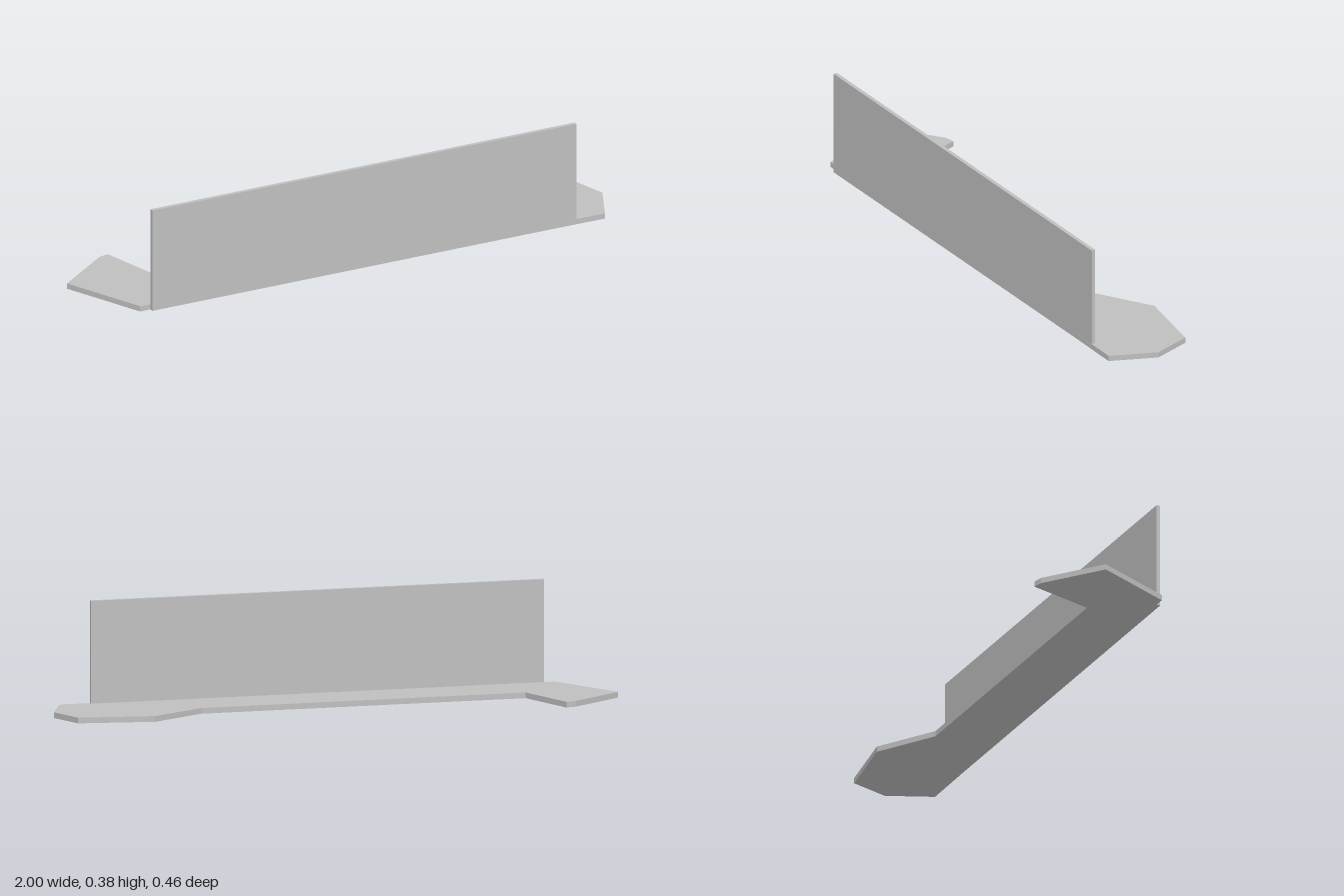
import * as THREE from 'three';

export function createModel() {
  const group = new THREE.Group();
  group.name = 'wallOnPlate';
  const grey = new THREE.MeshStandardMaterial({ color: 0xbfbfbf });
  grey.name = 'light grey';

  // Flat base plate, outline given as [x, z]
  const outline = [
    [-0.86, 0.214], [0.93, 0.23], [1, 0.07], [0.955, -0.07], [0.69, -0.115], [0.485, 0.01],
    [-0.69, 0.01], [-0.763, -0.23], [-0.8, -0.222], [-1, -0.072],
  ];
  const thickness = 0.02;
  const shape = new THREE.Shape(outline.map(([x, z]) => new THREE.Vector2(x, z)));
  const plateGeometry = new THREE.ExtrudeGeometry(shape, { depth: thickness, bevelEnabled: false });
  plateGeometry.rotateX(Math.PI / 2).translate(0, thickness, 0);
  const plate = new THREE.Mesh(plateGeometry, grey);
  plate.name = 'basePlate';
  group.add(plate);

  // Upright panel along the front edge
  const height = 0.38;
  const panel = new THREE.Mesh(new THREE.BoxGeometry(1.64, height, 0.014), grey);
  panel.name = 'uprightPanel';
  panel.position.set(0, height / 2, 0.221);
  group.add(panel);

  return group;
}
